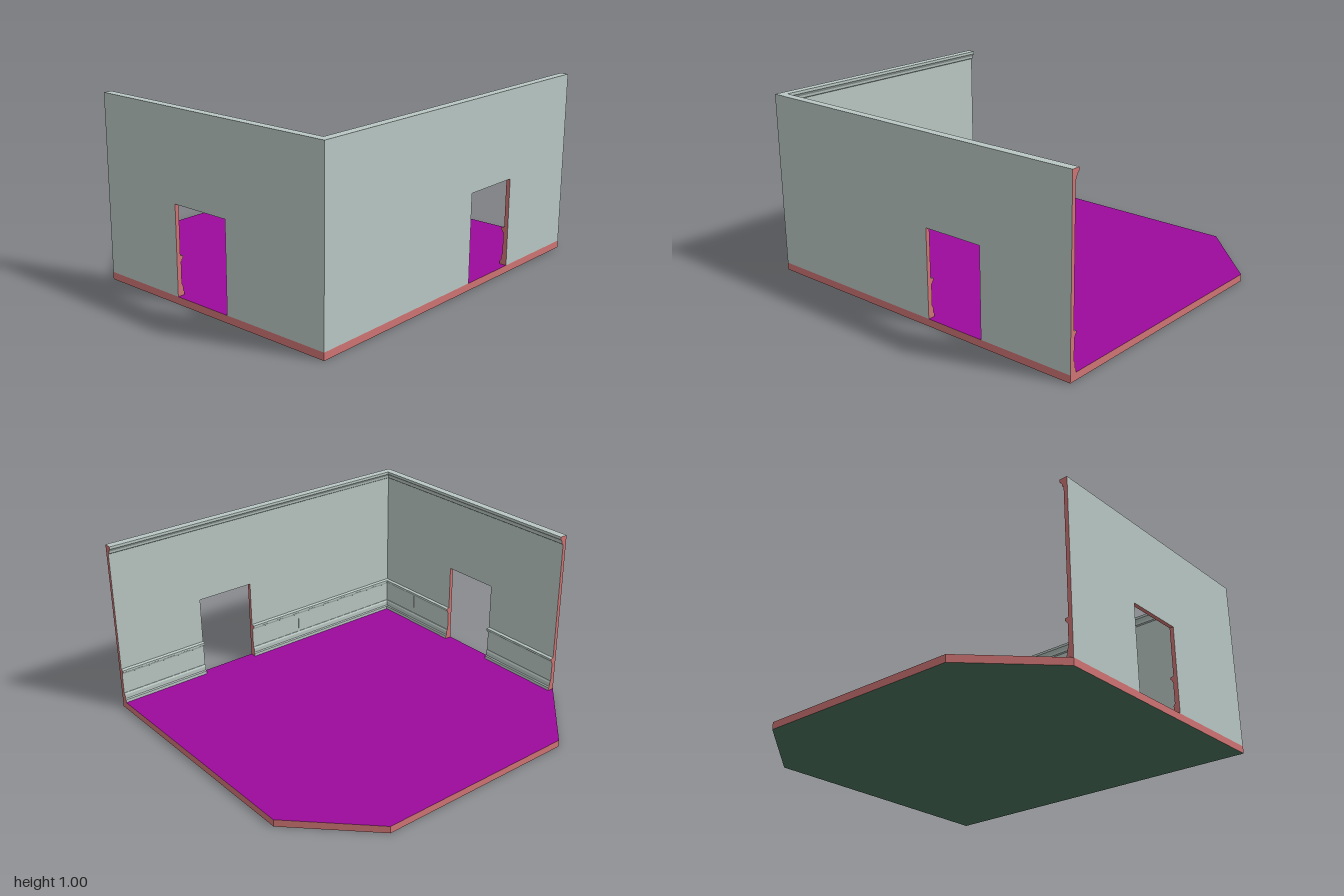
import * as THREE from 'three';

const mat = (color) => new THREE.MeshStandardMaterial({ color });
const wallMat = mat(0xb9c7c3);
const edgeMat = mat(0xd07474);
const floorMat = mat(0x9b0a9b);
const underMat = mat(0x48705a);

const FLOOR = 0.04, THICK = 0.022, TOP = 1, CROWN_Y = 0.95, DOOR_TOP = 0.52;

// Cross-sections as [depth inward from the outer face, height]
const CROWN = [[0, CROWN_Y], [THICK, CROWN_Y], [0.03, 0.955], [0.032, 0.968], [0.042, 0.982], [0.046, 0.985], [0.046, TOP], [0, TOP]];
const RAIL = [[THICK, 0.215], [0.03, 0.22], [0.034, 0.23], [0.04, 0.234], [0.04, 0.246], [THICK, 0.25]];
const SKIRTING = [[THICK, FLOOR], [0.04, FLOOR], [0.04, 0.058], [0.034, 0.064], [0.034, 0.088], [0.028, 0.098], [THICK, 0.1]];
const PANEL = [[THICK, 0.09], [0.026, 0.09], [0.026, 0.22], [THICK, 0.22]];

const toShape = (pts) => new THREE.Shape(pts.map(([x, y]) => new THREE.Vector2(x, y)));

function mesh(name, geometry, materials) {
  const m = new THREE.Mesh(geometry, materials);
  m.name = name;
  return m;
}

// Cuts the end that meets the other wall at 45 degrees
function mitre(geometry, corner) {
  const p = geometry.attributes.position;
  const sign = corner === 0 ? -1 : 1;
  for (let i = 0; i < p.count; i++) {
    if (Math.abs(p.getX(i) - corner) < 1e-4) p.setX(i, corner + sign * p.getZ(i));
  }
  geometry.computeVertexNormals();
  return geometry;
}

// Runs a cross-section along the wall from u0 to u1
function moulding(name, profile, u0, u1, corner) {
  const g = new THREE.ExtrudeGeometry(toShape(profile), { depth: u1 - u0, bevelEnabled: false });
  g.rotateY(Math.PI / 2).translate(u0, 0, 0);
  return mesh(name, mitre(g, corner), [edgeMat, wallMat]);
}

// Local frame: x along the wall, +z outward, outer face at z = 0
function createWall(name, length, door, corner, seam) {
  const wall = new THREE.Group();
  wall.name = name;
  const [d0, d1] = door;
  const outline = toShape([
    [0, FLOOR], [d0, FLOOR], [d0, DOOR_TOP], [d1, DOOR_TOP],
    [d1, FLOOR], [length, FLOOR], [length, CROWN_Y], [0, CROWN_Y],
  ]);
  const slab = new THREE.ExtrudeGeometry(outline, { depth: THICK, bevelEnabled: false });
  slab.translate(0, 0, -THICK);
  wall.add(mesh('wallSlab', mitre(slab, corner), [wallMat, edgeMat]));
  wall.add(moulding('crownMoulding', CROWN, 0, length, corner));

  // Trim stops at the doorway
  for (const [u0, u1] of [[0, d0], [d1, length]]) {
    wall.add(moulding('skirting', SKIRTING, u0, u1, corner));
    wall.add(moulding('wainscotPanel', PANEL, u0, u1, corner));
    wall.add(moulding('chairRail', RAIL, u0, u1, corner));
  }
  // Narrow batten between wainscot panels
  const batten = new THREE.BoxGeometry(0.006, 0.13, 0.004);
  batten.translate(seam, 0.155, -0.027);
  wall.add(mesh('wainscotBatten', batten, wallMat));
  return wall;
}

function createFloor() {
  const outline = toShape([[-0.94, -0.6], [-0.54, -1], [0.94, -1], [0.94, 1], [-0.54, 1], [-0.94, 0.6]]);
  const g = new THREE.ExtrudeGeometry(outline, { depth: FLOOR, bevelEnabled: false });
  g.rotateX(-Math.PI / 2);
  // Separate the underside, the walking surface and the rim
  const [caps, rim] = g.groups.map((r) => ({ ...r }));
  const half = caps.count / 2;
  g.clearGroups();
  g.addGroup(0, half, 0);
  g.addGroup(half, half, 1);
  g.addGroup(rim.start, rim.count, 2);
  return mesh('floor', g, [underMat, floorMat, edgeMat]);
}

export function createModel() {
  const model = new THREE.Group();
  model.name = 'roomCorner';
  model.add(createFloor());

  const front = createWall('frontWall', 1.48, [0.515, 0.865], 1.48, 1.19);
  front.position.set(-0.54, 0, 1);
  model.add(front);

  const side = createWall('sideWall', 2, [1.11, 1.46], 0, 0.76);
  side.rotation.y = Math.PI / 2;
  side.position.set(0.94, 0, 1);
  model.add(side);
  return model;
}
